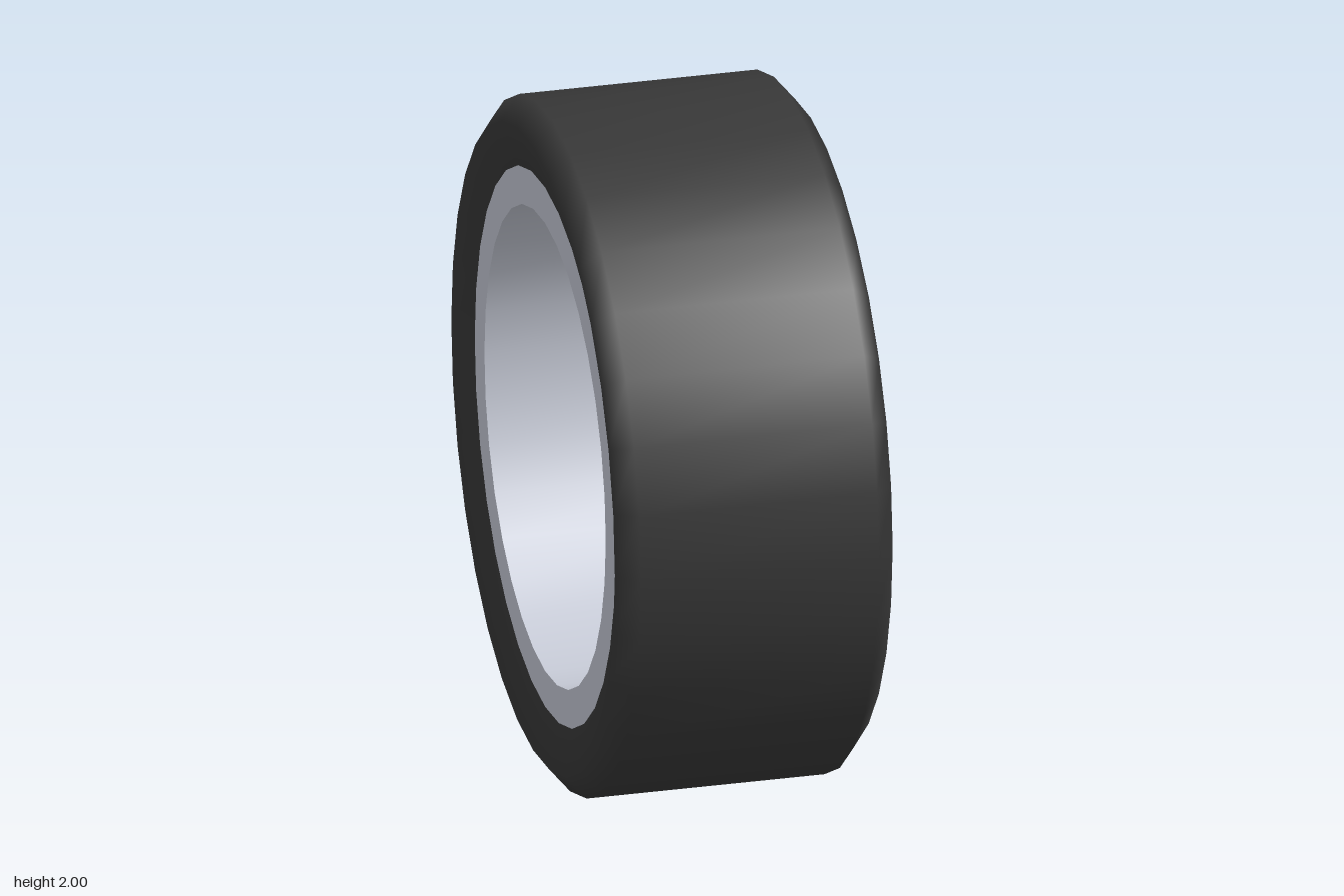
import * as THREE from 'three';
import { toCreasedNormals } from 'three/addons/utils/BufferGeometryUtils.js';

const SIDES = 32;
const rubber = new THREE.MeshStandardMaterial({ color: 0x383838 });
const alloy = new THREE.MeshStandardMaterial({ color: 0xc8ccd8 });

// Revolve [radius, x] points about the wheel axle (x axis)
function revolve(profile) {
  const points = profile.map(([r, x]) => new THREE.Vector2(r, x));
  return new THREE.LatheGeometry(points, SIDES).rotateZ(-Math.PI / 2);
}

function addMesh(parent, name, geometry, material) {
  const mesh = new THREE.Mesh(geometry, material);
  mesh.name = name;
  parent.add(mesh);
  return mesh;
}

// Bent spoke along +y: a W-grooved front and a flat back, lofted through stations
function spokeGeometry() {
  const halfWidth = 0.095, groove = 0.045;
  const stations = [ // radius, front x, back x
    [0.08, 0.14, 0.09],
    [0.19, 0.185, 0.09],
    [0.38, 0.27, 0.09],
    [0.71, 0.23, 0.06],
  ];
  const rings = stations.map(([r, front, back]) => {
    const ring = [];
    for (let i = 0; i < 5; i++) {
      const x = front - (i % 2) * groove;
      ring.push([x, r, halfWidth * (i / 2 - 1)]);
    }
    ring.push([back, r, halfWidth], [back, r, -halfWidth]);
    return ring;
  });
  const positions = [];
  for (let s = 0; s < rings.length - 1; s++) {
    const n = rings[s].length;
    for (let i = 0; i < n; i++) {
      const j = (i + 1) % n;
      const a = rings[s][i], b = rings[s + 1][i], c = rings[s + 1][j], d = rings[s][j];
      positions.push(...a, ...b, ...c, ...a, ...c, ...d);
    }
  }
  const geometry = new THREE.BufferGeometry();
  geometry.setAttribute('position', new THREE.Float32BufferAttribute(positions, 3));
  geometry.computeVertexNormals();
  return geometry;
}

export function createModel() {
  const wheel = new THREE.Group();
  wheel.name = 'wheel';

  // Tyre: flat tread, chamfered shoulders, dished sidewalls
  const tyre = addMesh(wheel, 'tyre', revolve([
    [0.80, -0.37], [0.93, -0.405], [1, -0.347],
    [1, 0.347], [0.93, 0.405], [0.795, 0.34],
  ]), rubber);
  tyre.position.y = 1;

  // Rim: sloped front flange, open barrel, flat rear flange
  const rim = addMesh(wheel, 'rim', toCreasedNormals(revolve([
    [0.795, 0.34], [0.665, 0.31], [0.685, 0.27], [0.69, -0.37], [0.80, -0.37],
  ]), 0.45), alloy);
  rim.position.y = 1;

  // Hub and spokes share a centre slightly off the axle
  const centre = new THREE.Group();
  centre.name = 'hubAndSpokes';
  centre.position.set(0, 0.977, -0.01);
  wheel.add(centre);

  const hubGeometry = new THREE.CylinderGeometry(0.187, 0.187, 0.146, SIDES);
  const hub = addMesh(centre, 'hub', hubGeometry.rotateZ(-Math.PI / 2), alloy);
  hub.position.x = 0.153;

  const geometry = spokeGeometry();
  for (let i = 0; i < 6; i++) {
    addMesh(centre, 'spoke', geometry, alloy).rotation.x = i * Math.PI / 3;
  }
  return wheel;
}
